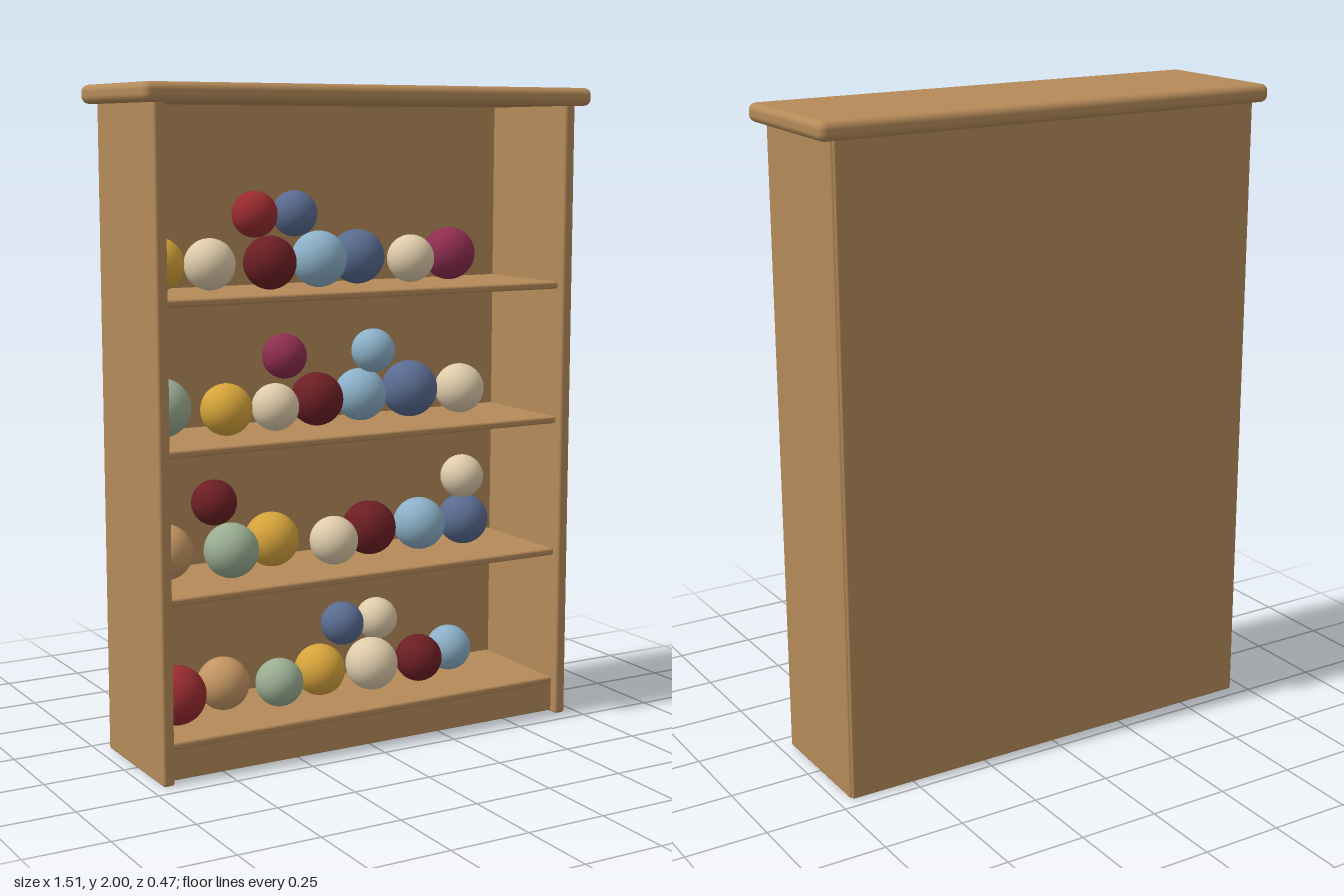
import * as THREE from 'three';
import { RoundedBoxGeometry } from 'three/addons/geometries/RoundedBoxGeometry.js';

const mat = (name, color) => {
  const m = new THREE.MeshStandardMaterial({ color });
  m.name = name;
  return m;
};

export function createModel() {
  const model = new THREE.Group();
  model.name = 'shelfUnit';

  const wood = mat('wood', 0xb48a59);
  const colors = {
    red: mat('red', 0x982b2f),
    maroon: mat('maroon', 0x6c1f24),
    gold: mat('gold', 0xd6a33a),
    cream: mat('cream', 0xdecbaa),
    sky: mat('sky blue', 0x8bb0c8),
    navy: mat('slate blue', 0x596b90),
    plum: mat('plum', 0x8e2d50),
    sage: mat('sage', 0x9aad92),
    tan: mat('tan', 0xc29462),
  };

  // Rounded board given by its minimum and maximum corners
  const board = (name, [x0, y0, z0], [x1, y1, z1], radius) => {
    const geo = new RoundedBoxGeometry(x1 - x0, y1 - y0, z1 - z0, 3, radius);
    const mesh = new THREE.Mesh(geo, wood);
    mesh.name = name;
    mesh.position.set((x0 + x1) / 2, (y0 + y1) / 2, (z0 + z1) / 2);
    model.add(mesh);
  };

  // Cabinet
  board('leftSide', [0.675, 0, -0.205], [0.711, 1.96, 0.2], 0.008);
  board('rightSide', [-0.711, 0, -0.205], [-0.675, 1.96, 0.2], 0.008);
  board('backPanel', [-0.705, 0, -0.212], [0.705, 1.96, -0.19], 0.006);
  board('topBoard', [-0.753, 1.945, -0.234], [0.753, 2, 0.235], 0.022);
  board('plinth', [-0.68, 0.005, 0.14], [0.68, 0.105, 0.172], 0.005);

  // Each shelf: top height, row of balls [colour, x, z, radius],
  // and the pair stacked on the row [colour, x, y, radius]
  const shelves = [
    {
      top: 0.12,
      row: [['red', -0.585, 0.02, 0.089], ['tan', -0.4, -0.045, 0.081], ['sage', -0.235, 0.01, 0.074],
        ['gold', -0.071, -0.03, 0.08], ['cream', 0.1, 0, 0.083], ['maroon', 0.278, -0.005, 0.075],
        ['sky', 0.431, -0.065, 0.073]],
      stacked: [['navy', 0.013, 0.337, 0.068], ['cream', 0.138, 0.337, 0.066]],
    },
    {
      top: 0.546,
      row: [['tan', -0.585, -0.05, 0.084], ['sage', -0.4, 0.02, 0.083], ['gold', -0.225, -0.055, 0.084],
        ['cream', -0.048, 0.02, 0.075], ['maroon', 0.119, -0.05, 0.085], ['sky', 0.296, -0.035, 0.083],
        ['navy', 0.463, -0.035, 0.081]],
      stacked: [['maroon', -0.429, 0.768, 0.069], ['cream', 0.458, 0.768, 0.069]],
    },
    {
      top: 0.974,
      row: [['sage', -0.585, -0.06, 0.088], ['gold', -0.402, 0, 0.078], ['cream', -0.233, -0.01, 0.072],
        ['maroon', -0.074, -0.04, 0.082], ['sky', 0.095, -0.065, 0.082], ['navy', 0.272, -0.06, 0.089],
        ['cream', 0.455, -0.05, 0.079]],
      stacked: [['plum', -0.188, 1.195, 0.068], ['sky', 0.124, 1.195, 0.068]],
    },
    {
      top: 1.402,
      row: [['gold', -0.585, -0.08, 0.081], ['cream', -0.423, -0.06, 0.077], ['maroon', -0.254, 0, 0.08],
        ['sky', -0.082, -0.01, 0.085], ['navy', 0.087, -0.07, 0.084], ['cream', 0.262, -0.04, 0.074],
        ['plum', 0.426, -0.075, 0.083]],
      stacked: [['red', -0.286, 1.624, 0.069], ['navy', -0.151, 1.624, 0.069]],
    },
  ];

  const sphere = new THREE.SphereGeometry(1, 32, 20);
  const ball = (name, color, x, y, z, r) => {
    const mesh = new THREE.Mesh(sphere, colors[color]);
    mesh.name = name;
    mesh.scale.setScalar(r);
    mesh.position.set(x, y, z);
    model.add(mesh);
  };

  for (const { top, row, stacked } of shelves) {
    board('shelf', [-0.675, top - 0.023, -0.195], [0.675, top, 0.178], 0.008);
    for (const [c, x, z, r] of row) ball('ball', c, x, top + r, z, r);
    for (const [c, x, y, r] of stacked) ball('stackedBall', c, x, y, -0.035, r);
  }

  return model;
}
